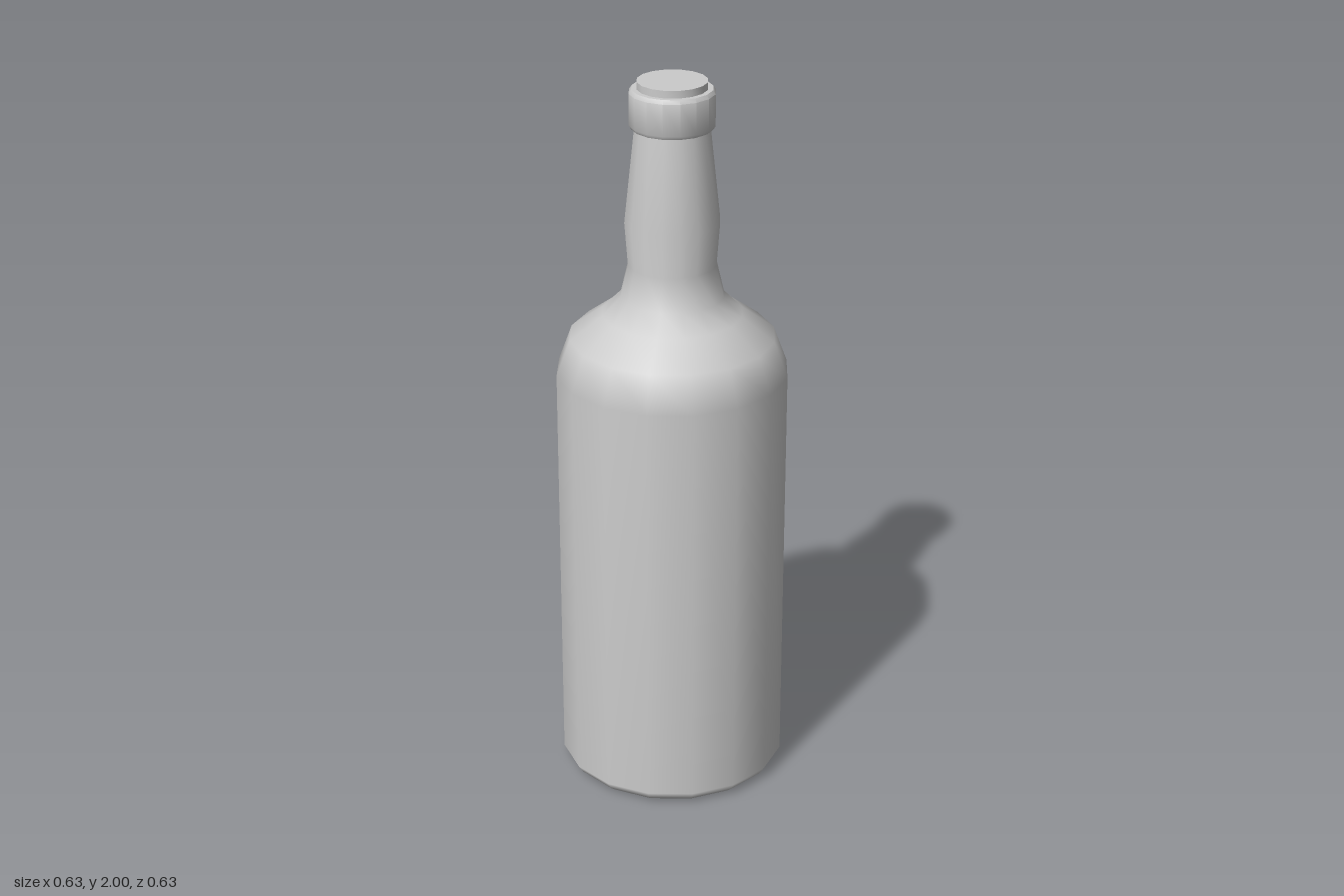
import * as THREE from 'three';
import { toCreasedNormals } from 'three/addons/utils/BufferGeometryUtils.js';

const SIDES = 16;

// Revolve a [radius, height] profile, listed from bottom to top
function turned(name, profile, creased) {
  const points = profile.map(([r, y]) => new THREE.Vector2(r, y));
  let geometry = new THREE.LatheGeometry(points, SIDES);
  if (creased) geometry = toCreasedNormals(geometry, 0.7);
  const material = new THREE.MeshStandardMaterial({ color: 0xcccccc });
  const mesh = new THREE.Mesh(geometry, material);
  mesh.name = name;
  return mesh;
}

export function createModel() {
  const group = new THREE.Group();
  group.name = 'bottle';

  // Base, straight wall, sloping shoulder and bulged neck
  group.add(turned('bottleBody', [
    [0, 0], [0.285, 0], [0.3, 0.012], [0.315, 0.035],
    [0.315, 1.195], [0.278, 1.295], [0.19, 1.36], [0.14, 1.41],
    [0.119, 1.5], [0.128, 1.62], [0.1, 1.88],
  ], false));

  // Raised ring around the mouth
  group.add(turned('lipCollar', [
    [0.09, 1.875], [0.108, 1.875], [0.114, 1.885],
    [0.114, 1.97], [0.107, 1.98], [0.085, 1.98],
  ], true));

  // Closed top inside the ring
  group.add(turned('stopper', [
    [0.093, 1.95], [0.093, 2], [0, 2],
  ], true));

  return group;
}
